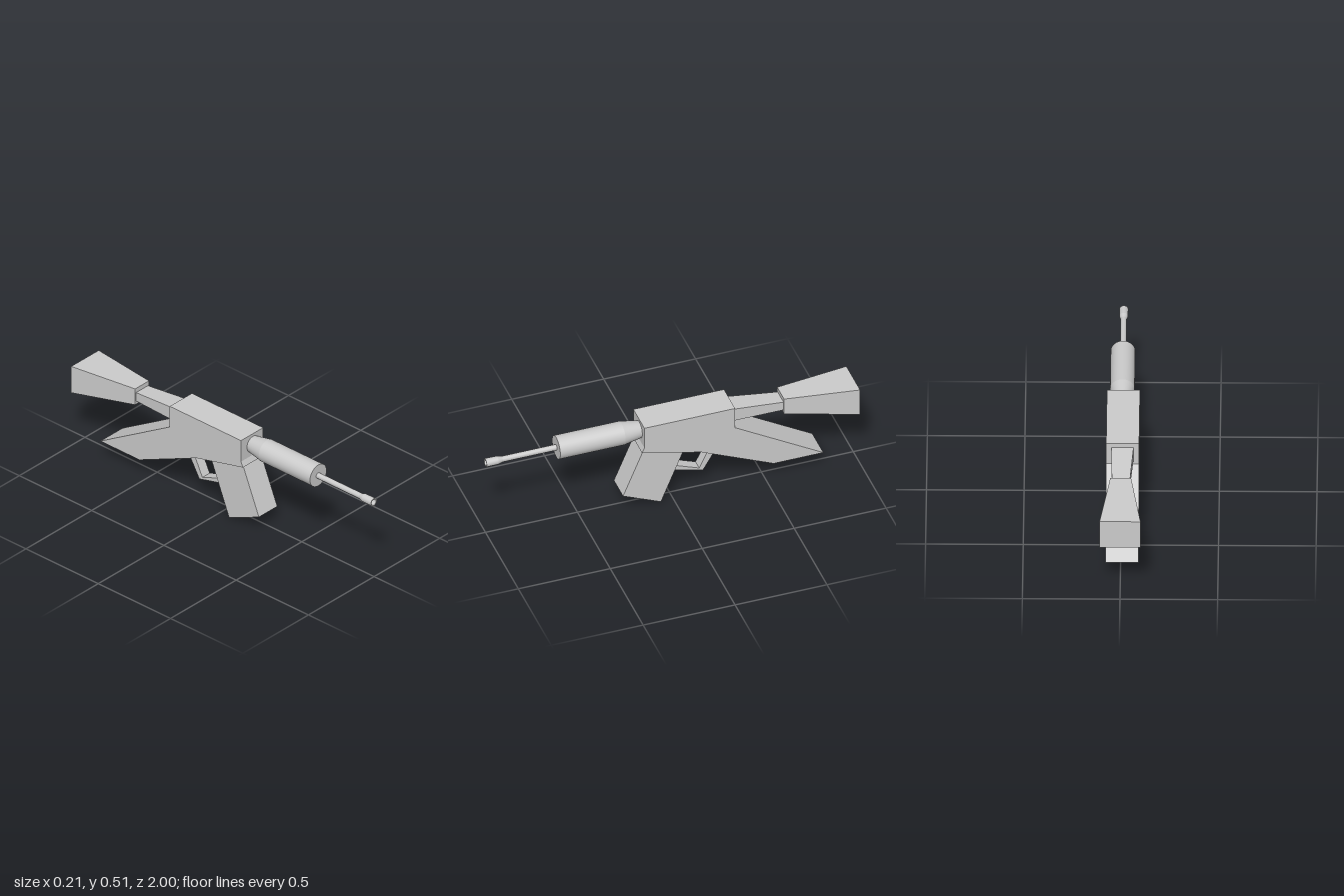
import * as THREE from 'three';

const flat = new THREE.MeshStandardMaterial({ color: 0xcccccc, flatShading: true });
const smooth = new THREE.MeshStandardMaterial({ color: 0xcccccc });

function add(group, name, geometry, material = flat) {
  const mesh = new THREE.Mesh(geometry, material);
  mesh.name = name;
  group.add(mesh);
  return mesh;
}

// Side outline given as [z, y], extruded across x between x0 and x1
function slab(outline, x0, x1) {
  const shape = new THREE.Shape(outline.map(([z, y]) => new THREE.Vector2(z, y)));
  const geometry = new THREE.ExtrudeGeometry(shape, { depth: x1 - x0, bevelEnabled: false });
  return geometry.rotateY(-Math.PI / 2).translate(x1, 0, 0);
}

// Box whose two ends have their own [x0, x1, y0, y1, z]
function taperedBox(front, back) {
  const geometry = new THREE.BoxGeometry(1, 1, 1);
  const p = geometry.attributes.position;
  for (let i = 0; i < p.count; i++) {
    const [x0, x1, y0, y1, z] = p.getZ(i) > 0 ? front : back;
    p.setXYZ(i, p.getX(i) > 0 ? x1 : x0, p.getY(i) > 0 ? y1 : y0, z);
  }
  geometry.computeVertexNormals();
  return geometry;
}

// Turned part along z from [radius, z] pairs; each span has its own normals so edges stay sharp
function turned(group, name, profile, x, y) {
  const part = new THREE.Group();
  part.name = name;
  for (let i = 0; i < profile.length - 1; i++) {
    const span = [profile[i], profile[i + 1]].map(([r, z]) => new THREE.Vector2(r, z));
    add(part, name + 'Section', new THREE.LatheGeometry(span, 32).rotateX(Math.PI / 2), smooth);
  }
  part.position.set(x, y, 0);
  group.add(part);
}

export function createModel() {
  const model = new THREE.Group();
  model.name = 'rifle';

  // Receiver and swept grip share one outline
  add(model, 'receiver', slab([
    [0.163, 0.512], [-0.33, 0.512], [-0.33, 0.387], [-0.81, 0.1],
    [-0.54, 0.1], [-0.145, 0.277], [0.176, 0.355], [0.163, 0.385],
  ], -0.092, 0.077));

  // Magazine, its top sunk into the receiver
  add(model, 'magazine', slab([
    [0.164, 0.356], [0.274, 0.09], [0.068, 0], [-0.054, 0.298], [-0.04, 0.34],
  ], -0.078, 0.062));

  // Bent trigger guard
  add(model, 'triggerGuard', slab([
    [0.005, 0.158], [-0.176, 0.112], [-0.246, 0.23], [-0.235, 0.28],
    [-0.2, 0.28], [-0.213, 0.25], [-0.155, 0.13], [-0.008, 0.187],
  ], -0.036, 0.02));

  // Handguard, narrowing towards the receiver
  turned(model, 'handguard', [
    [0, 0.15], [0.046, 0.15], [0.046, 0.165], [0.063, 0.26], [0.063, 0.615], [0, 0.615],
  ], -0.001, 0.45);

  // Barrel with flared, hollow muzzle
  turned(model, 'barrel', [
    [0.0155, 0.6], [0.0155, 0.91], [0.022, 0.935], [0.023, 1],
    [0.017, 1], [0.016, 0.92], [0, 0.92],
  ], -0.002, 0.45);

  // Stock neck and flared butt
  add(model, 'stockNeck', taperedBox(
    [-0.064, 0.05, 0.412, 0.488, -0.32], [-0.045, 0.045, 0.407, 0.456, -0.62]));
  add(model, 'stockButt', taperedBox(
    [-0.053, 0.053, 0.387, 0.483, -0.605], [-0.105, 0.105, 0.318, 0.477, -1]));

  return model;
}
